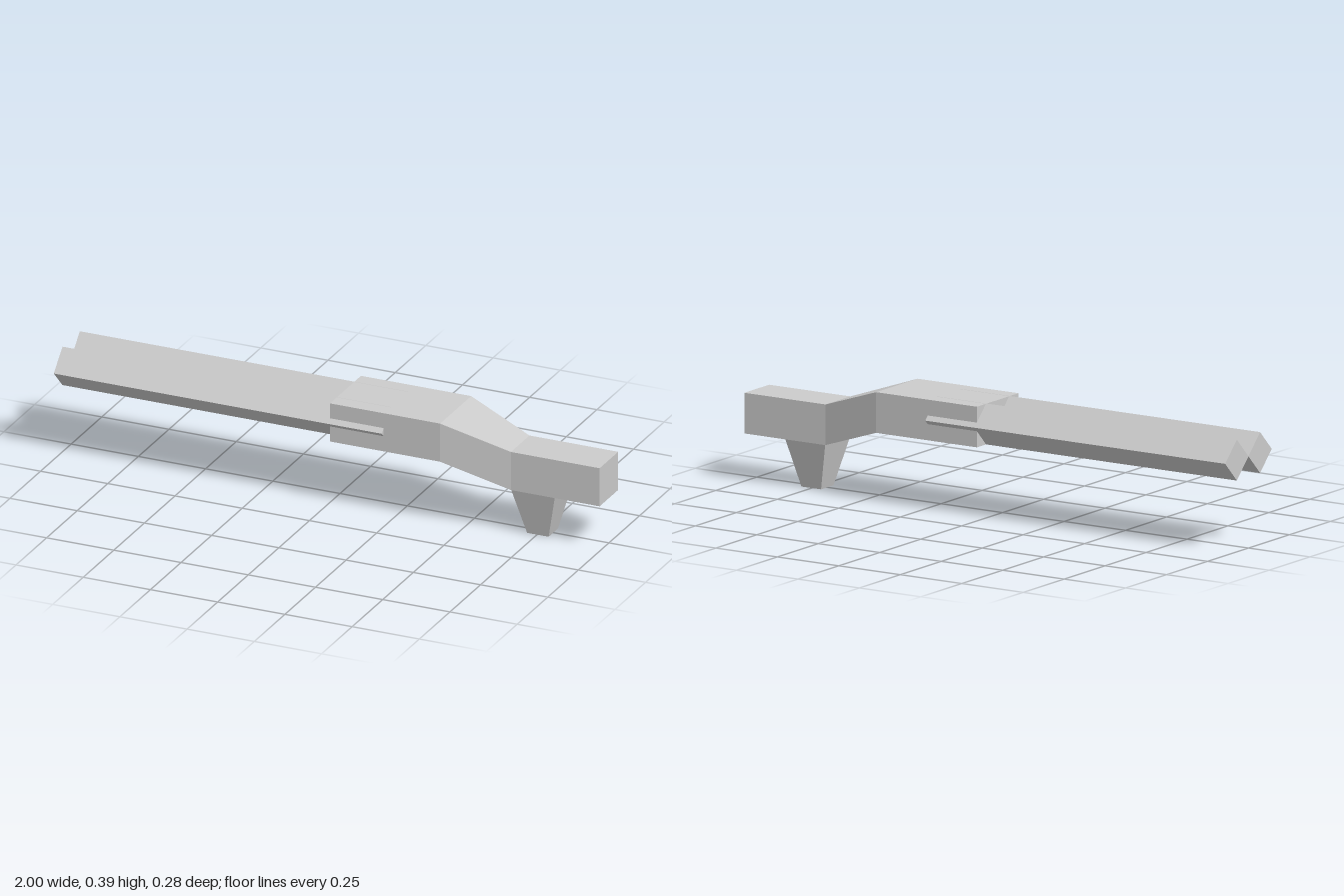
import * as THREE from 'three';

const material = new THREE.MeshStandardMaterial({ color: 0xcccccc, flatShading: true });

// Unit box whose vertices are moved by a rule
function shapedBox(name, segmentsX, rule) {
  const geometry = new THREE.BoxGeometry(1, 1, 1, segmentsX, 1, 1);
  const pos = geometry.attributes.position;
  for (let i = 0; i < pos.count; i++) {
    pos.setXYZ(i, ...rule(pos.getX(i), pos.getY(i), pos.getZ(i)));
  }
  geometry.computeVertexNormals();
  const mesh = new THREE.Mesh(geometry, material);
  mesh.name = name;
  return mesh;
}

export function createModel() {
  const model = new THREE.Group();
  model.name = 'doubleBarrelGun';

  // Stock: rectangular sections that step down and narrow towards the butt
  const sections = [
    { x: 0.02, y: 0.3175, halfWidth: 0.127 },
    { x: 0.43, y: 0.3175, halfWidth: 0.127 },
    { x: 0.67, y: 0.236, halfWidth: 0.076 },
    { x: 1.0, y: 0.236, halfWidth: 0.076 },
  ];
  model.add(shapedBox('stock', 3, (x, y, z) => {
    const s = sections[Math.round((x + 0.5) * 3)];
    return [s.x, s.y + y * 0.141, z * 2 * s.halfWidth];
  }));

  // Grip: tapers downwards from the underside of the stock
  model.add(shapedBox('grip', 1, (x, y, z) => (y > 0
    ? [0.752 + x * 0.162, 0.166, z * 0.152]
    : [0.753 + x * 0.08, 0, z * 0.076])));

  // Twin barrels: diamond section, side by side, sunk into the stock
  const radius = 0.071;
  const length = 1.22;
  for (const side of [-1, 1]) {
    const geometry = new THREE.CylinderGeometry(radius, radius, length, 4);
    geometry.rotateZ(Math.PI / 2);
    const barrel = new THREE.Mesh(geometry, material);
    barrel.name = side > 0 ? 'frontBarrel' : 'backBarrel';
    barrel.position.set(-1 + length / 2, 0.318, side * radius);
    model.add(barrel);
  }
  return model;
}
